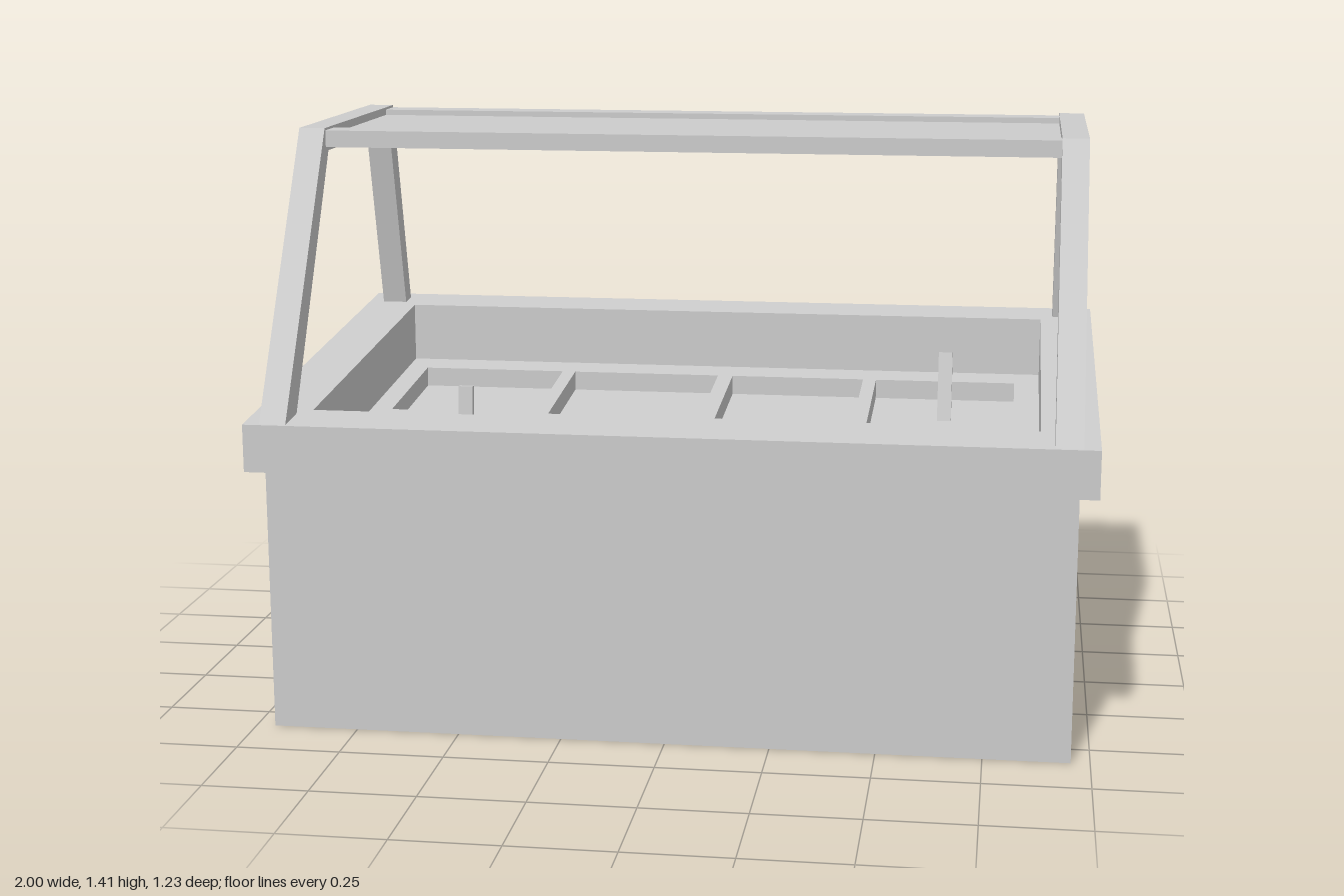
import * as THREE from 'three';

const SLOPE = 0.0886; // counter drops towards the front

function rectPoints(x0, x1, z0, z1) {
  return [[x0, -z1], [x1, -z1], [x1, -z0], [x0, -z0]].map(([x, y]) => new THREE.Vector2(x, y));
}

// Horizontal slab with rectangular holes; vertices above y = 0 follow the slope.
function slopedSlab(outer, holes, yBottom, yTop) {
  const shape = new THREE.Shape(rectPoints(...outer));
  for (const h of holes) shape.holes.push(new THREE.Path(rectPoints(...h).reverse()));
  const geo = new THREE.ExtrudeGeometry(shape, { depth: yTop - yBottom, bevelEnabled: false });
  geo.rotateX(-Math.PI / 2).translate(0, yBottom, 0);
  const p = geo.attributes.position;
  for (let i = 0; i < p.count; i++) {
    if (p.getY(i) > 0.001) p.setY(i, p.getY(i) - SLOPE * p.getZ(i));
  }
  geo.computeVertexNormals();
  return geo;
}

export function createModel() {
  const group = new THREE.Group();
  const mat = new THREE.MeshStandardMaterial({ color: 0xcccccc, flatShading: true });
  const add = (name, geo) => {
    const mesh = new THREE.Mesh(geo, mat);
    mesh.name = name;
    group.add(mesh);
    return mesh;
  };
  const box = (name, x0, x1, y0, y1, z0, z1) => {
    const mesh = add(name, new THREE.BoxGeometry(x1 - x0, y1 - y0, z1 - z0));
    mesh.position.set((x0 + x1) / 2, (y0 + y1) / 2, (z0 + z1) / 2);
    return mesh;
  };

  // Hollow cabinet, open underneath
  const t = 0.004;
  add('cabinet', slopedSlab([-0.955, 0.955, -0.593, 0.593],
    [[-0.955 + t, 0.955 - t, -0.593 + t, 0.593 - t]], 0, 0.694));

  // Overhanging counter rim around the well
  const well = [-0.865, 0.865, -0.497, 0.487];
  add('counterRim', slopedSlab([-1, 1, -0.617, 0.617], [well], 0.6925, 0.8075));

  // Well walls, pan grid and the floor of the pans
  const wellOuter = [-0.875, 0.875, -0.507, 0.497];
  add('wellWalls', slopedSlab(wellOuter, [well], 0.525, 0.6925));
  const columns = [[-0.81, -0.43], [-0.395, 0], [0.04, 0.395], [0.43, 0.8]];
  const rows = [[-0.41, -0.025], [0.015, 0.403]];
  const pans = rows.flatMap(r => columns.map(c => [...c, ...r]));
  add('panGrid', slopedSlab(well, pans, 0.525, 0.655));
  pans.forEach((p, i) => add('panFloor' + (i + 1), slopedSlab(p, [], 0.599, 0.605)));

  // Bent side frames of the canopy
  const profile = [
    [0.613, 0.748], [0.21, 1.412], [-0.44, 1.412], [-0.582, 0.85],
    [-0.528, 0.848], [-0.395, 1.355], [0.183, 1.355], [0.522, 0.755],
  ].map(([z, y]) => new THREE.Vector2(-z, y));
  const frameShape = new THREE.Shape(profile);
  for (const side of [-1, 1]) {
    const geo = new THREE.ExtrudeGeometry(frameShape, { depth: 0.064, bevelEnabled: false });
    geo.translate(0, 0, -0.032).rotateY(Math.PI / 2);
    const frame = add(side > 0 ? 'leftFrame' : 'rightFrame', geo);
    frame.position.x = side * 0.929;
  }

  // Canopy: two long rails with a thinner panel between them
  box('frontRail', -0.9, 0.9, 1.365, 1.406, 0.13, 0.205);
  box('backRail', -0.9, 0.9, 1.365, 1.406, -0.44, -0.365);
  box('canopyPanel', -0.9, 0.9, 1.374, 1.392, -0.365, 0.13);

  // Serving utensils standing in the pans
  const utensils = [
    ['rightUtensil', -0.56, 0.66, 0.195, 0.22, -0.08],
    ['leftUtensil', 0.62, 0.695, -0.25, 0.21, -0.25],
  ];
  for (const [name, x, y, z, h, tilt] of utensils) {
    const u = add(name, new THREE.BoxGeometry(0.036, h, 0.02));
    u.position.set(x, y, z);
    u.rotation.x = tilt;
  }
  return group;
}
